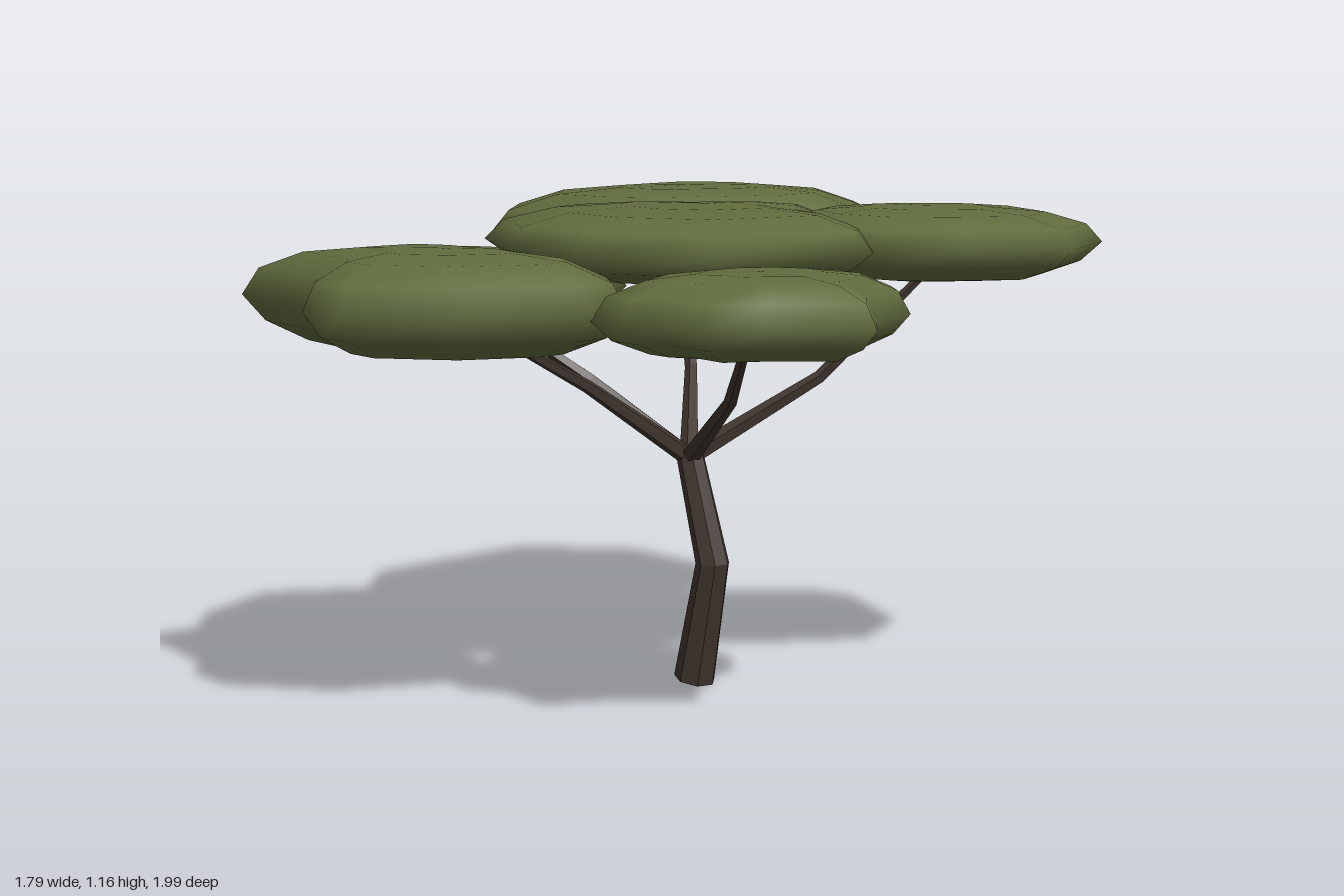
import * as THREE from 'three';

const leaf = new THREE.MeshStandardMaterial({ color: 0x606c3e });
leaf.name = 'olive foliage';
const bark = new THREE.MeshStandardMaterial({ color: 0x40352e });
bark.name = 'dark bark';

// Surface from stacked rings of equal count, closed by two end points
function loft(rings, start, end) {
  const n = rings[0].length, last = rings.length - 1;
  const pts = [...rings.flat(), start, end];
  const s = pts.length - 2, e = s + 1, index = [];
  for (let i = 0; i < n; i++) {
    const j = (i + 1) % n;
    index.push(i, j, s, last * n + j, last * n + i, e);
    for (let r = 0; r < last; r++) {
      const a = r * n + i, b = r * n + j;
      index.push(b, a, a + n, b, a + n, b + n);
    }
  }
  const g = new THREE.BufferGeometry().setFromPoints(pts);
  g.setIndex(index);
  return g;
}

// Flattened leaf cushion: [scale of outline, height from -1 (bottom) to 1 (top)]
const PROFILE = [[0.36, -0.98], [0.66, -0.86], [0.88, -0.5], [1, 0], [0.91, 0.52], [0.68, 0.85], [0.38, 0.97]];

function cushion(name, outline, low, edge, high) {
  const cx = outline.reduce((t, p) => t + p[0], 0) / outline.length;
  const cz = outline.reduce((t, p) => t + p[1], 0) / outline.length;
  const y = h => edge + h * (h > 0 ? high - edge : edge - low);
  const rings = PROFILE.map(([k, h]) => outline.map(([x, z]) =>
    new THREE.Vector3(cx + (x - cx) * k, y(h), cz + (z - cz) * k)));
  const g = loft(rings, new THREE.Vector3(cx, low, cz), new THREE.Vector3(cx, high, cz));
  g.computeVertexNormals();
  const mesh = new THREE.Mesh(g, leaf);
  mesh.name = name;
  return mesh;
}

// Faceted limb along a bent path with one radius per point
function limb(name, path, radii, sides) {
  const p = path.map(a => new THREE.Vector3(...a));
  const rings = p.map((c, k) => {
    const dir = p[Math.min(k + 1, p.length - 1)].clone().sub(p[Math.max(k - 1, 0)]).normalize();
    const q = new THREE.Quaternion().setFromUnitVectors(new THREE.Vector3(0, 1, 0), dir);
    return Array.from({ length: sides }, (_, i) => {
      const t = i / sides * Math.PI * 2;
      return new THREE.Vector3(Math.cos(t), 0, Math.sin(t)).multiplyScalar(radii[k]).applyQuaternion(q).add(c);
    });
  });
  const g = loft(rings, p[0], p[p.length - 1]).toNonIndexed();
  g.computeVertexNormals();
  const mesh = new THREE.Mesh(g, bark);
  mesh.name = name;
  return mesh;
}

export function createModel() {
  const tree = new THREE.Group();
  tree.name = 'tree';

  // Trunk with a knee
  tree.add(limb('trunk', [[0.015, 0.011, -0.02], [0.078, 0.3, 0.003], [0, 0.56, -0.02]], [0.05, 0.041, 0.033], 7));

  // Branches fanning out from the top of the trunk
  const branches = [
    [[-0.2, 0.73, 0.1], [-0.42, 0.89, 0.2]],
    [[-0.13, 0.73, 0.22], [-0.25, 0.88, 0.46]],
    [[0.24, 0.72, 0.2], [0.4, 0.89, 0.4]],
    [[0.24, 0.73, -0.22], [0.45, 0.98, -0.36]],
    [[-0.12, 0.73, -0.23], [-0.28, 0.98, -0.44]],
  ];
  for (const [mid, tip] of branches)
    tree.add(limb('branch', [[0, 0.545, -0.02], mid, tip], [0.024, 0.016, 0.01], 5));

  // Leaf cushions, outlines as [x, z] clockwise from above
  tree.add(
    cushion('backRightCanopy', [[-0.3, -1], [0.02, -0.89], [0.11, -0.76], [0.17, -0.61], [0.13, -0.4], [-0.06, -0.2],
      [-0.17, -0.07], [-0.34, -0.01], [-0.59, -0.05], [-0.73, -0.31], [-0.68, -0.58], [-0.61, -0.87]], 0.95, 1.05, 1.16),
    cushion('backLeftCanopy', [[0.48, -0.71], [0.6, -0.7], [0.85, -0.47], [0.89, -0.22], [0.7, -0.05], [0.52, 0.04],
      [0.28, 0], [0.12, -0.18], [0.08, -0.4], [0.16, -0.52]], 0.97, 1.06, 1.14),
    cushion('centreCanopy', [[0.16, -0.45], [0.22, -0.36], [0.29, -0.2], [0.48, -0.04], [0.52, 0.05], [0.33, 0.41],
      [0, 0.47], [-0.27, 0.36], [-0.48, 0.13], [-0.49, -0.06], [-0.36, -0.16], [-0.17, -0.2], [-0.03, -0.35],
      [0.1, -0.41]], 0.97, 1.055, 1.145),
    cushion('rightCanopy', [[-0.67, -0.18], [-0.42, -0.2], [-0.2, -0.06], [-0.12, 0.2], [-0.22, 0.42], [-0.5, 0.56],
      [-0.73, 0.55], [-0.86, 0.34], [-0.9, 0.05]], 0.84, 0.94, 1.03),
    cushion('frontRightCanopy', [[-0.42, 0.28], [-0.27, 0.33], [-0.05, 0.36], [0.11, 0.45], [0.21, 0.58], [0.19, 0.69],
      [0.01, 0.9], [-0.26, 0.99], [-0.4, 0.93], [-0.47, 0.83], [-0.78, 0.67], [-0.74, 0.52], [-0.67, 0.33],
      [-0.53, 0.28]], 0.835, 0.95, 1.07),
    cushion('frontLeftCanopy', [[0.52, 0.05], [0.62, 0.1], [0.69, 0.2], [0.71, 0.4], [0.79, 0.55], [0.59, 0.67],
      [0.5, 0.77], [0.35, 0.7], [0.28, 0.73], [0.18, 0.69], [0.12, 0.45], [0.18, 0.22], [0.34, 0.08]], 0.855, 0.94, 1.04),
  );
  return tree;
}
